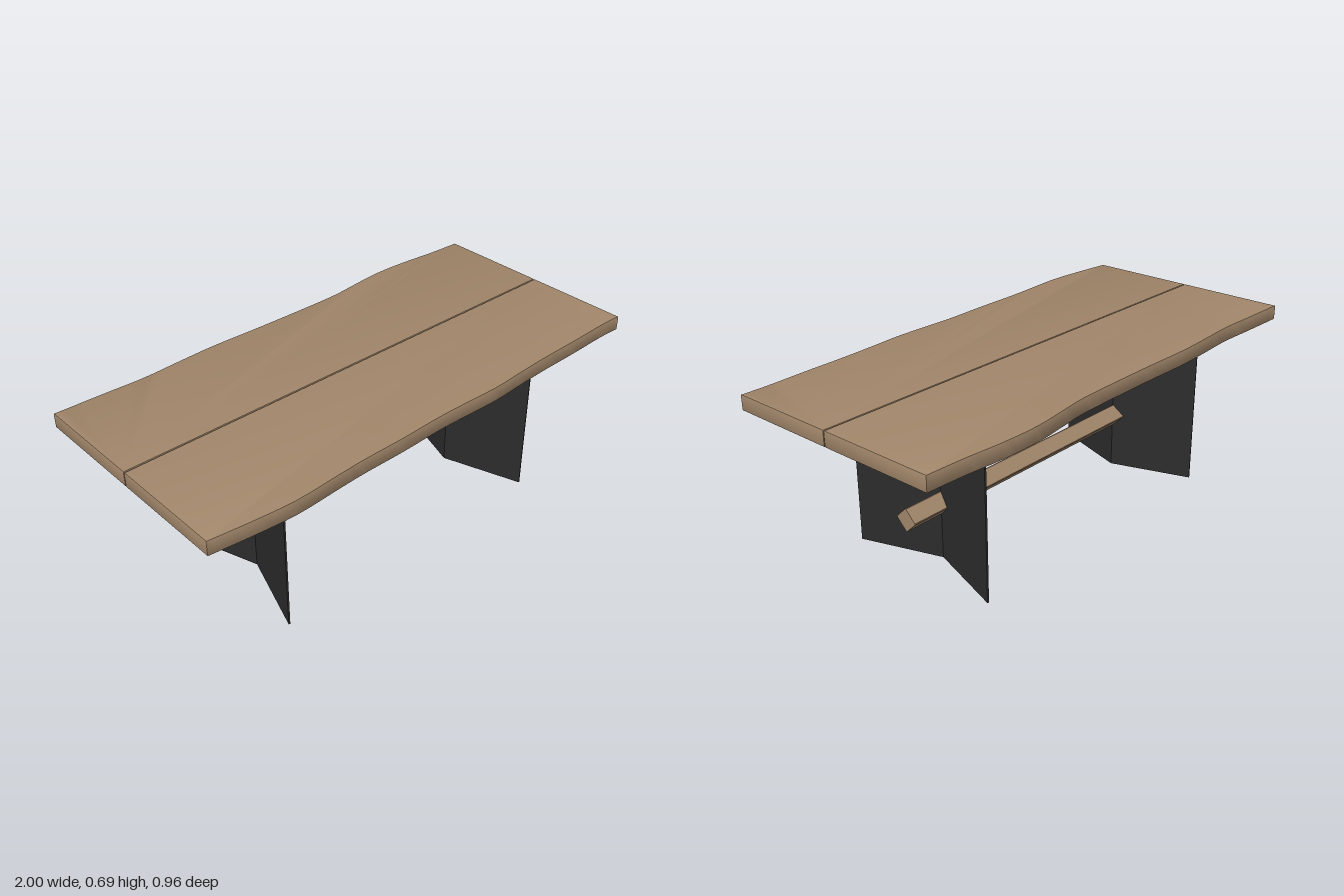
import * as THREE from 'three';
import { toCreasedNormals } from 'three/addons/utils/BufferGeometryUtils.js';

const wood = new THREE.MeshStandardMaterial({ color: 0xa1866a });
wood.name = 'oak wood';
const steel = new THREE.MeshStandardMaterial({ color: 0x2c2c2c });
steel.name = 'black steel';

const TOP = 0.69, UNDER = 0.63, BEAM_Y = 0.23;

// Extrudes a plan outline of [x, z] points upward from y0 to y1, with softened edges
function slab(points, y0, y1, bevel) {
  const shape = new THREE.Shape(points.map(([x, z]) => new THREE.Vector2(x, -z)));
  const geo = new THREE.ExtrudeGeometry(shape, {
    depth: y1 - y0 - 2 * bevel, bevelEnabled: bevel > 0,
    bevelSize: bevel, bevelThickness: bevel, bevelOffset: -bevel, bevelSegments: 2,
  });
  geo.rotateX(-Math.PI / 2);
  geo.translate(0, y0 + bevel, 0);
  return toCreasedNormals(geo, 0.5);
}

function addMesh(parent, name, geo, material) {
  const mesh = new THREE.Mesh(geo, material);
  mesh.name = name;
  parent.add(mesh);
  return mesh;
}

// Natural wavy edge through a few [x, z] points
function liveEdge(points) {
  const curve = new THREE.SplineCurve(points.map(([x, z]) => new THREE.Vector2(x, z)));
  return curve.getPoints(48).map((p) => [p.x, p.y]);
}

// V-shaped folded steel leg, its fold pointing toward the table's middle
function makeLeg(side) {
  const leg = new THREE.Group();
  leg.name = side > 0 ? 'leftLeg' : 'rightLeg';
  const fold = 0.505, end = 0.621, half = 0.329, t = 0.006;
  const outline = [
    [fold, 0], [end - t, half], [end, half - 0.002],
    [fold + t, 0], [end, -half + 0.002], [end - t, -half],
  ].map(([x, z]) => [x * side, z]);
  addMesh(leg, 'foldedPanel', slab(outline, 0, UNDER, 0), steel);

  // Mounting plate under the top
  const plate = addMesh(leg, 'mountingPlate', new THREE.BoxGeometry(0.084, 0.01, 0.726), steel);
  plate.position.set(side * 0.562, UNDER - 0.004, 0);
  return leg;
}

export function createModel() {
  const table = new THREE.Group();
  table.name = 'diningTable';

  // Two planks with straight inner edges and live outer edges
  const gap = 0.002;
  const front = liveEdge([
    [-1, 0.45], [-0.85, 0.467], [-0.68, 0.479], [-0.5, 0.469], [-0.38, 0.463], [-0.2, 0.461],
    [0, 0.454], [0.25, 0.459], [0.4, 0.45], [0.55, 0.442], [0.72, 0.438], [0.9, 0.431], [1, 0.433],
  ]);
  const back = liveEdge([
    [-1, -0.448], [-0.8, -0.443], [-0.64, -0.438], [-0.48, -0.447], [-0.32, -0.454], [-0.1, -0.45],
    [0.15, -0.45], [0.28, -0.453], [0.4, -0.467], [0.5, -0.479], [0.6, -0.483], [0.72, -0.478],
    [0.85, -0.467], [1, -0.461],
  ]);
  addMesh(table, 'frontPlank', slab([...front, [1, gap], [-1, gap]], UNDER, TOP, 0.004), wood);
  addMesh(table, 'backPlank', slab([...back, [1, -gap], [-1, -gap]], UNDER, TOP, 0.004), wood);

  // Diamond-set square stretcher passing through both legs
  const s = 0.0335, c = 0.003;
  const square = [
    [-s + c, -s], [s - c, -s], [s, -s + c], [s, s - c],
    [s - c, s], [-s + c, s], [-s, s - c], [-s, -s + c],
  ].map(([x, y]) => new THREE.Vector2(x, y));
  const beamGeo = new THREE.ExtrudeGeometry(new THREE.Shape(square), { depth: 1.364, bevelEnabled: false });
  beamGeo.translate(0, 0, -0.682);
  beamGeo.rotateZ(Math.PI / 4);
  beamGeo.rotateY(Math.PI / 2);
  addMesh(table, 'stretcher', beamGeo, wood).position.y = BEAM_Y;

  for (const side of [-1, 1]) table.add(makeLeg(side));
  return table;
}
